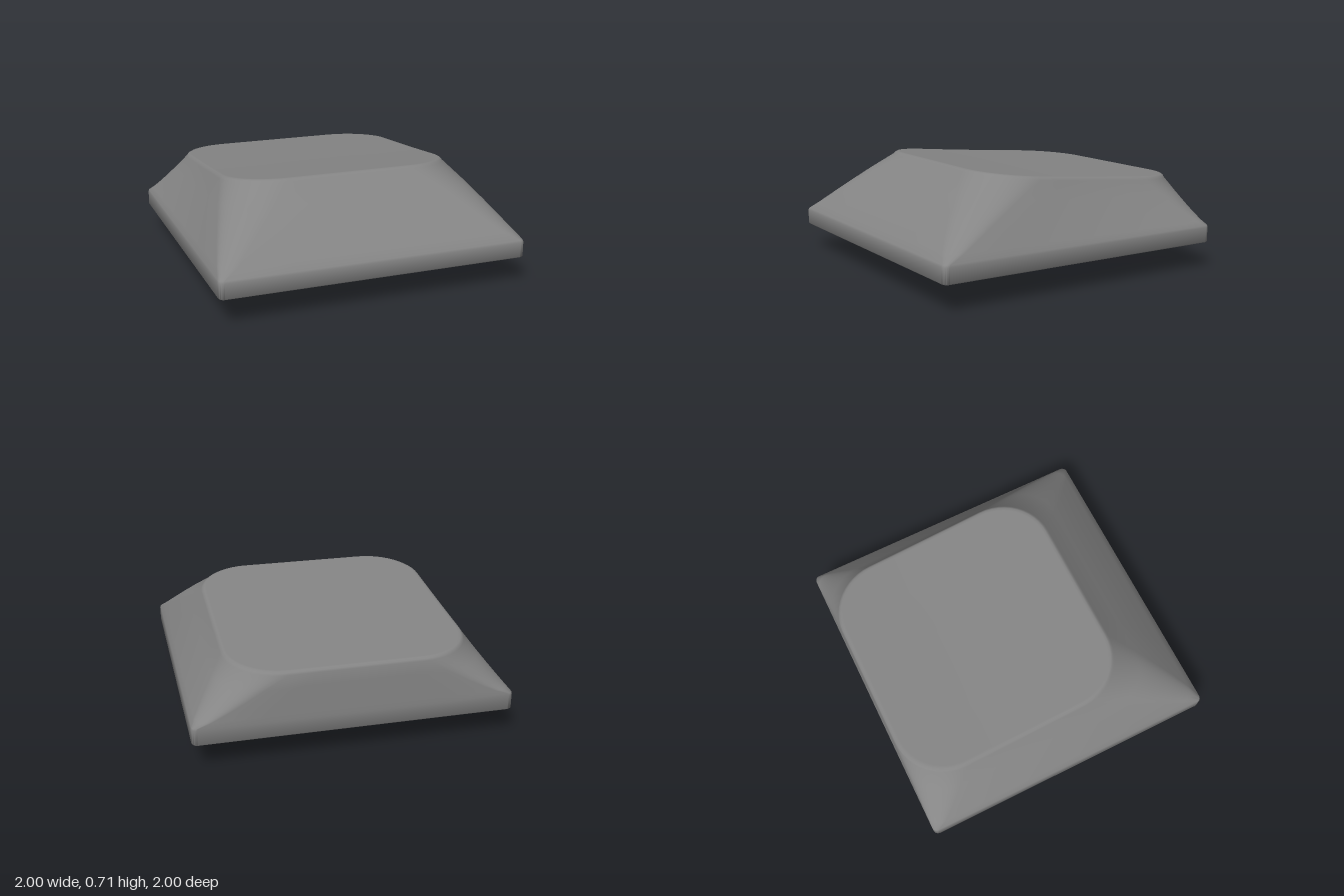
import * as THREE from 'three';
import { toCreasedNormals } from 'three/addons/utils/BufferGeometryUtils.js';

const ARC = 12, EDGE = 5;

// Slightly hollowed top plane, falling from front to back
const topY = (z) => {
  const t = (z + 0.98) / 1.505;
  return 0.58 + 0.13 * t - 0.03 * t * (1 - t);
};

// Inner ceiling, parallel to the top
const ceilingY = (z) => 0.42 + 0.085 * z;

// Rounded rectangle cross-section; y is a number or a function of z
function section(x, zBack, zFront, r, y) {
  const pts = [];
  const corners = [[x - r, zFront - r], [-x + r, zFront - r], [-x + r, zBack + r], [x - r, zBack + r]];
  corners.forEach(([cx, cz], q) => {
    for (let i = 0; i <= ARC; i++) {
      const a = (q + i / ARC) * Math.PI / 2;
      pts.push([cx + r * Math.cos(a), cz + r * Math.sin(a)]);
    }
  });
  // subdivide the straight sides
  const ring = [];
  pts.forEach((p, i) => {
    const n = pts[(i + 1) % pts.length];
    const steps = i % (ARC + 1) === ARC ? EDGE : 1;
    for (let k = 0; k < steps; k++) {
      const px = p[0] + (n[0] - p[0]) * k / steps;
      const pz = p[1] + (n[1] - p[1]) * k / steps;
      ring.push(new THREE.Vector3(px, typeof y === 'function' ? y(pz) : y, pz));
    }
  });
  return ring;
}

// Skin a series of matching rings, dropping collapsed triangles
function loft(rings, crease) {
  const pos = [];
  const tri = (a, b, c) => {
    if (a.distanceTo(b) < 1e-6 || b.distanceTo(c) < 1e-6 || c.distanceTo(a) < 1e-6) return;
    for (const p of [a, b, c]) pos.push(p.x, p.y, p.z);
  };
  for (let i = 0; i < rings.length - 1; i++) {
    const lo = rings[i], hi = rings[i + 1], n = lo.length;
    for (let j = 0; j < n; j++) {
      const k = (j + 1) % n;
      tri(lo[j], hi[j], lo[k]);
      tri(lo[k], hi[j], hi[k]);
    }
  }
  const geo = new THREE.BufferGeometry();
  geo.setAttribute('position', new THREE.Float32BufferAttribute(pos, 3));
  return toCreasedNormals(geo, crease);
}

export function createModel() {
  const group = new THREE.Group();
  const material = new THREE.MeshStandardMaterial({ color: 0x858585 });
  const add = (name, geo) => {
    const mesh = new THREE.Mesh(geo, material);
    mesh.name = name;
    group.add(mesh);
  };

  // Outer cap: skirt
  const outer = [
    section(0.994, -0.994, 0.994, 0.03, 0.17),
    section(1, -1, 1, 0.035, 0.177),
    section(1, -1, 1, 0.035, 0.27),
  ];
  // Sloping walls, with corners that round off quickly as they rise
  const mix = THREE.MathUtils.lerp;
  for (const t of [0, 0.1, 0.25, 0.45, 0.7, 1]) {
    const y = (z) => mix(0.283, topY(z) - 0.02, t);
    outer.push(section(mix(0.996, 0.767, t), mix(-1, -0.986, t), mix(0.994, 0.544, t), mix(0.035, 0.345, t ** 0.75), y));
  }
  // Softened top edge
  outer.push(
    section(0.76, -0.981, 0.533, 0.34, (z) => topY(z) - 0.007),
    section(0.748, -0.968, 0.52, 0.33, topY),
  );
  // Dished top, closing in on its middle
  for (const s of [0.98, 0.75, 0.5, 0.25, 0]) {
    outer.push(section(0.748 * s, -0.224 - 0.744 * s, -0.224 + 0.744 * s, 0.33 * s, topY));
  }
  add('capShell', loft(outer, 0.95));

  // Hollow underside: ceiling, sloping inner walls, short lip and flat rim
  add('capUnderside', loft([
    section(0, 0, 0, 0, ceilingY),
    section(0.67, -0.84, 0.53, 0.005, ceilingY),
    section(0.85, -0.85, 0.85, 0.005, 0.2),
    section(0.85, -0.85, 0.85, 0.005, 0.17),
    section(0.994, -0.994, 0.994, 0.03, 0.17),
  ], 0.4));

  // Round stem with a chamfered foot
  const profile = [[0.274, 0], [0.298, 0.022], [0.298, 0.45]].map(([r, y]) => new THREE.Vector2(r, y));
  add('stemSleeve', toCreasedNormals(new THREE.LatheGeometry(profile, 64), 0.5));

  // Stem core with a cross-shaped socket
  const disc = new THREE.Shape().absarc(0, 0, 0.274, 0, Math.PI * 2, false);
  const l = 0.22, w = 0.068;
  const cross = [[l, -w], [l, w], [w, w], [w, l], [-w, l], [-w, w], [-l, w], [-l, -w], [-w, -w], [-w, -l], [w, -l], [w, -w]];
  disc.holes.push(new THREE.Path(cross.map(([x, y]) => new THREE.Vector2(x, y))));
  const core = new THREE.ExtrudeGeometry(disc, { depth: 0.45, bevelEnabled: false, curveSegments: 32 });
  core.rotateX(-Math.PI / 2);
  add('stemSocket', core);

  return group;
}
